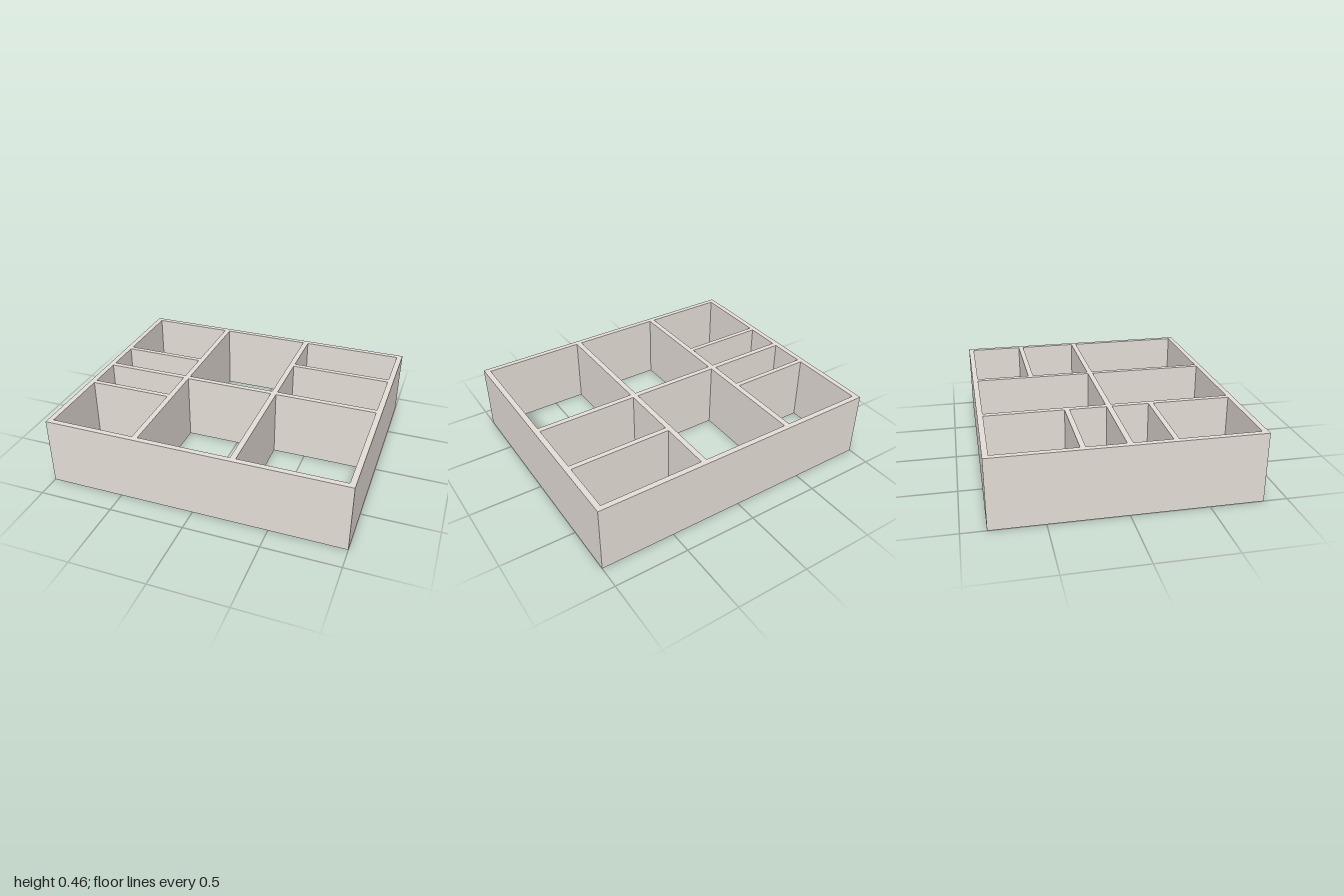
import * as THREE from 'three';

const HEIGHT = 0.46;
const HALF_X = 1;
const HALF_Z = 0.845;

// Compartments by column: x range, then the z ranges of the cells in it
const COLUMNS = [
  { x: [-0.963, -0.404], cells: [[-0.809, -0.293], [-0.26, -0.018], [0.018, 0.26], [0.293, 0.809]] },
  { x: [-0.367, 0.243], cells: [[-0.809, -0.018], [0.018, 0.809]] },
  { x: [0.28, 0.963], cells: [[-0.809, -0.449], [-0.415, -0.018], [0.018, 0.809]] },
];

// Counter-clockwise rectangle drawn in plan, with shape y = -z
function rectangle(PathType, x0, x1, z0, z1) {
  return new PathType([
    new THREE.Vector2(x0, -z1),
    new THREE.Vector2(x1, -z1),
    new THREE.Vector2(x1, -z0),
    new THREE.Vector2(x0, -z0),
  ]);
}

export function createModel() {
  const group = new THREE.Group();
  group.name = 'drawerOrganizer';

  const warmGrey = new THREE.MeshStandardMaterial({ color: 0xe4ddd6 });
  warmGrey.name = 'warmGrey';

  // Outer walls and dividers: one plan outline with open compartments
  const plan = rectangle(THREE.Shape, -HALF_X, HALF_X, -HALF_Z, HALF_Z);
  for (const { x, cells } of COLUMNS) {
    for (const [z0, z1] of cells) {
      plan.holes.push(rectangle(THREE.Path, x[0], x[1], z0, z1));
    }
  }

  const geometry = new THREE.ExtrudeGeometry(plan, { depth: HEIGHT, bevelEnabled: false });
  geometry.rotateX(-Math.PI / 2);

  const walls = new THREE.Mesh(geometry, warmGrey);
  walls.name = 'wallsAndDividers';
  group.add(walls);

  return group;
}
